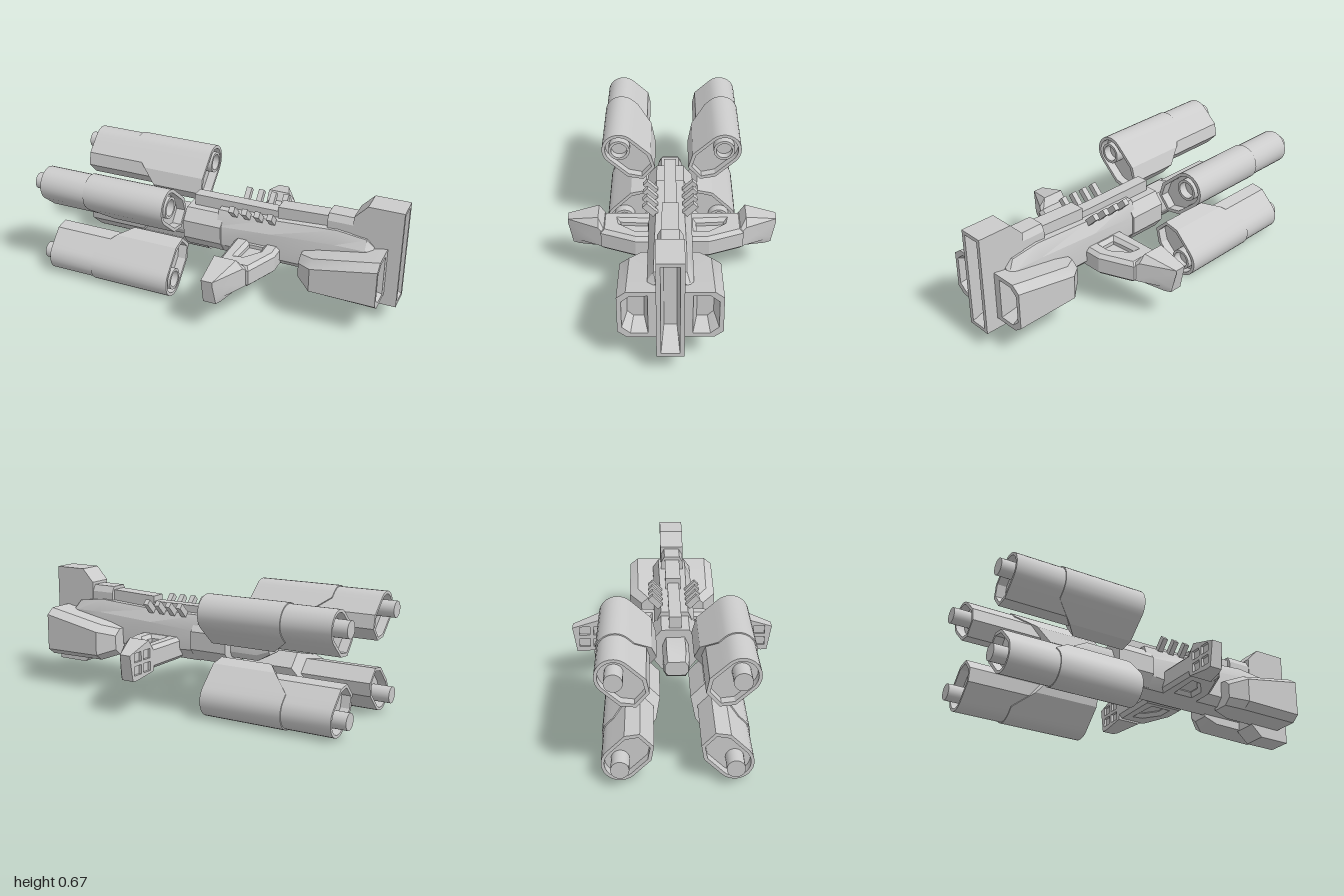
import * as THREE from 'three';
import { toCreasedNormals } from 'three/addons/utils/BufferGeometryUtils.js';

const material = new THREE.MeshStandardMaterial({ color: 0xcccccc, side: THREE.DoubleSide });

function add(parent, name, geometry) {
  const mesh = new THREE.Mesh(geometry, material);
  mesh.name = name;
  parent.add(mesh);
  return mesh;
}

// Skin a row of equal-length [x, y, z] loops, cap both ends, keep outward winding
function loft(loops) {
  const tris = [];
  const n = loops[0].length;
  for (let i = 0; i < loops.length - 1; i++) {
    const a = loops[i], b = loops[i + 1];
    for (let j = 0; j < n; j++) {
      const k = (j + 1) % n;
      tris.push([a[j], a[k], b[k]], [a[j], b[k], b[j]]);
    }
  }
  const cap = (loop, flip) => {
    const c = [0, 1, 2].map((d) => loop.reduce((sum, p) => sum + p[d], 0) / n);
    for (let j = 0; j < n; j++) {
      const p = loop[j], q = loop[(j + 1) % n];
      tris.push(flip ? [c, q, p] : [c, p, q]);
    }
  };
  cap(loops[0], true);
  cap(loops[loops.length - 1], false);
  const V = (p) => new THREE.Vector3(...p);
  const volume = tris.reduce((s, [a, b, c]) => s + V(a).dot(V(b).cross(V(c))), 0);
  if (volume < 0) tris.forEach((t) => t.reverse());
  const geo = new THREE.BufferGeometry();
  geo.setAttribute('position', new THREE.Float32BufferAttribute(tris.flat(2), 3));
  return toCreasedNormals(geo, 0.5);
}

// Cross-section loops at a given x
const rect = (x, y0, y1, h) => [[x, y0, -h], [x, y0, h], [x, y1, h], [x, y1, -h]];
const octagon = (x, y0, y1, h, cy0, cy1, top, bottom) => [
  [x, y0, -bottom], [x, y0, bottom], [x, cy0, h], [x, cy1, h],
  [x, y1, top], [x, y1, -top], [x, cy1, -h], [x, cy0, -h],
];

// Engine outline: s runs inboard, t across; round outside, bevelled inside
function podOutline(r, full, tip) {
  const pts = [];
  for (let i = 0; i <= 14; i++) {
    const a = Math.PI / 2 + (Math.PI * i) / 14;
    pts.push([r * Math.cos(a), r * Math.sin(a)]);
  }
  const bend = 0.04;
  pts.push([bend, -r], [full, -r], [tip, -r * 0.52], [tip, r * 0.52], [full, r], [bend, r]);
  return pts;
}

function addPod(parent, side, upper) {
  const pod = new THREE.Group();
  pod.name = (upper ? 'upper' : 'lower') + (side > 0 ? 'Left' : 'Right') + 'Engine';
  const cy = upper ? 0.562 : 0.102, cz = upper ? 0.296 : 0.275;
  const angle = upper ? -0.73 : 0.77;
  const c = Math.cos(angle), s = Math.sin(angle);
  const place = (outline, x) => outline.map(([u, v]) => [
    typeof x === 'number' ? x : x(u),
    cy + u * s + v * c,
    side * (cz - u * c + v * s),
  ]);
  // Slanted rear edge of the sleeve
  const slant = (u) => -0.67 + 0.17 * THREE.MathUtils.clamp((u - 0.04) / 0.185, 0, 1);
  const rear = podOutline(0.092, 0.12, 0.18), rearIn = podOutline(0.076, 0.11, 0.163);
  const sleeve = podOutline(0.098, 0.15, 0.225), sleeveIn = podOutline(0.08, 0.14, 0.207);
  add(pod, 'engineShell', loft([
    place(rearIn, -0.89), place(rearIn, -0.94), place(rear, -0.94), place(rear, slant),
    place(sleeve, slant), place(sleeve, -0.2), place(sleeveIn, -0.2), place(sleeveIn, -0.25),
  ]));
  // Exhaust at the back, hollow ring at the front
  const nozzle = add(pod, 'nozzle', new THREE.CylinderGeometry(0.045, 0.045, 0.12, 24));
  nozzle.rotation.z = Math.PI / 2;
  nozzle.position.set(-0.94, cy, side * cz);
  const profile = [[0, -0.24], [0.045, -0.24], [0.045, -0.195], [0.06, -0.195], [0.06, -0.255]]
    .map((p) => new THREE.Vector2(...p));
  const ring = add(pod, 'intakeRing', toCreasedNormals(new THREE.LatheGeometry(profile, 24), 0.5));
  ring.rotation.z = -Math.PI / 2;
  ring.position.set(0, cy, side * cz);
  pod.position.z = 0.003;
  parent.add(pod);
}

function addWing(parent, side) {
  const wing = new THREE.Group();
  wing.name = side > 0 ? 'leftWing' : 'rightWing';
  const path = (Type, pts) => new Type(pts.map((p) => new THREE.Vector2(...p)));
  // Arm with a shallow tray in its upper and lower face
  const arm = path(THREE.Shape, [[0.12, 0.08], [0.34, 0.08], [0.34, 0.19], [0.27, 0.36], [0.12, 0.36]]);
  arm.holes.push(path(THREE.Path, [[0.17, 0.11], [0.16, 0.3], [0.22, 0.29], [0.29, 0.2], [0.29, 0.11]]));
  const armGeo = new THREE.ExtrudeGeometry(arm, {
    depth: 0.085, bevelThickness: 0.02, bevelSize: 0.02, bevelSegments: 1,
  });
  armGeo.rotateX(Math.PI / 2);
  armGeo.scale(1, 1, 1);
  armGeo.translate(0, 0.335, 0);
  const frame = add(wing, 'wingArm', armGeo);
  if (side < 0) frame.scale.z = -1;
  const tray = add(wing, 'wingTray', new THREE.BoxGeometry(0.15, 0.06, 0.22));
  tray.position.set(0.22, 0.285, side * 0.18);

  // Tip: swept wedge whose rear face holds four square recesses
  const tip = [[0.565, 0.345], [0.396, 0.396], [0.338, 0.31], [0.357, 0.22], [0.507, 0.2], [0.54, 0.203]];
  const at = (fx, ky) => tip.map(([z, y]) => [fx(z), 0.285 + (y - 0.285) * ky, side * z]);
  const sweep = (z) => 0.29 - 0.58 * (z - 0.345);
  add(wing, 'wingTip', loft([
    at(() => 0.115, 1), at((z) => sweep(z) - 0.045 * (0.565 - z) / 0.2, 1), at(sweep, 0.62),
  ]));
  const face = path(THREE.Shape, tip);
  for (const z of [0.385, 0.465]) {
    for (const y of [0.23, 0.3]) {
      face.holes.push(path(THREE.Path, [[z, y], [z + 0.06, y], [z + 0.06, y + 0.05], [z, y + 0.05]]));
    }
  }
  const faceGeo = new THREE.ExtrudeGeometry(face, { depth: 0.02, bevelEnabled: false });
  faceGeo.rotateY(-Math.PI / 2);
  faceGeo.translate(0.12, 0, 0);
  const grille = add(wing, 'wingTipGrille', faceGeo);
  if (side < 0) grille.scale.z = -1;
  wing.position.z = 0.002;
  parent.add(wing);
}

export function createModel() {
  const model = new THREE.Group();
  model.name = 'spaceship';
  const body = new THREE.Group();
  body.name = 'body';
  body.position.z = 0.012;
  model.add(body);

  // Hull, back to front
  add(body, 'tailBeam', loft([
    octagon(-0.43, 0.31, 0.385, 0.06, 0.33, 0.365, 0.045, 0.045),
    octagon(-0.36, 0.27, 0.42, 0.07, 0.305, 0.375, 0.05, 0.05),
    octagon(-0.15, 0.27, 0.42, 0.07, 0.305, 0.375, 0.05, 0.05),
  ]));
  add(body, 'rearHull', loft([-0.2, 0.02].map((x) =>
    octagon(x, 0.235, 0.462, 0.125, 0.3, 0.4, 0.075, 0.075))));
  add(body, 'mainHull', loft([
    octagon(-0.01, 0.23, 0.485, 0.113, 0.295, 0.4, 0.075, 0.07),
    octagon(0.3, 0.23, 0.487, 0.113, 0.275, 0.42, 0.075, 0.07),
    octagon(0.66, 0.23, 0.51, 0.113, 0.275, 0.44, 0.08, 0.07),
    octagon(0.82, 0.23, 0.49, 0.113, 0.275, 0.44, 0.08, 0.07),
    octagon(0.86, 0.23, 0.45, 0.1, 0.275, 0.43, 0.07, 0.07),
  ]));

  // Stepped spine along the top
  add(body, 'rearSpine', loft([rect(-0.17, 0.43, 0.525, 0.033), rect(0.34, 0.43, 0.525, 0.033)]));
  add(body, 'midSpine', loft([rect(0.32, 0.45, 0.555, 0.043), rect(0.62, 0.45, 0.567, 0.043)]));
  add(body, 'spineCollar', loft([0.6, 0.78].map((x) =>
    octagon(x, 0.43, 0.585, 0.065, 0.45, 0.55, 0.045, 0.065))));

  // Tall nose plate with a deep slot in its front
  add(body, 'nosePlate', loft([
    rect(0.74, 0.18, 0.6, 0.068), rect(0.81, 0.115, 0.675, 0.068), rect(1, 0.115, 0.675, 0.068),
    rect(1, 0.135, 0.655, 0.046), rect(0.86, 0.2, 0.59, 0.032),
  ]));

  for (const side of [1, -1]) {
    // Side intake, hollow at the front
    const section = (x, y0, y1, z0, z1, c0, c1) => [
      [x, y0, z0], [x, y0, z1 - c0], [x, y0 + c1, z1], [x, y1 - c1, z1], [x, y1, z1 - c0], [x, y1, z0],
    ].map(([px, y, z]) => [px, y, side * z]);
    add(body, side > 0 ? 'leftIntake' : 'rightIntake', loft([
      section(0.49, 0.215, 0.365, 0.05, 0.185, 0.04, 0.035),
      section(0.575, 0.185, 0.39, 0.05, 0.257, 0.05, 0.035),
      section(0.93, 0.18, 0.455, 0.05, 0.257, 0.045, 0.035),
      section(0.93, 0.205, 0.432, 0.108, 0.235, 0.042, 0.036),
      section(0.84, 0.24, 0.395, 0.128, 0.21, 0.03, 0.03),
    ]));

    // Row of tilted cooling fins
    for (let i = 0; i < 4; i++) {
      const fin = add(body, 'coolingFin', new THREE.BoxGeometry(0.03, 0.08, 0.035));
      fin.position.set(0.09 + i * 0.072, 0.508, side * 0.105);
      fin.rotation.x = side * Math.PI / 4;
    }

    addWing(model, side);
    addPod(model, side, true);
    addPod(model, side, false);
  }
  return model;
}
